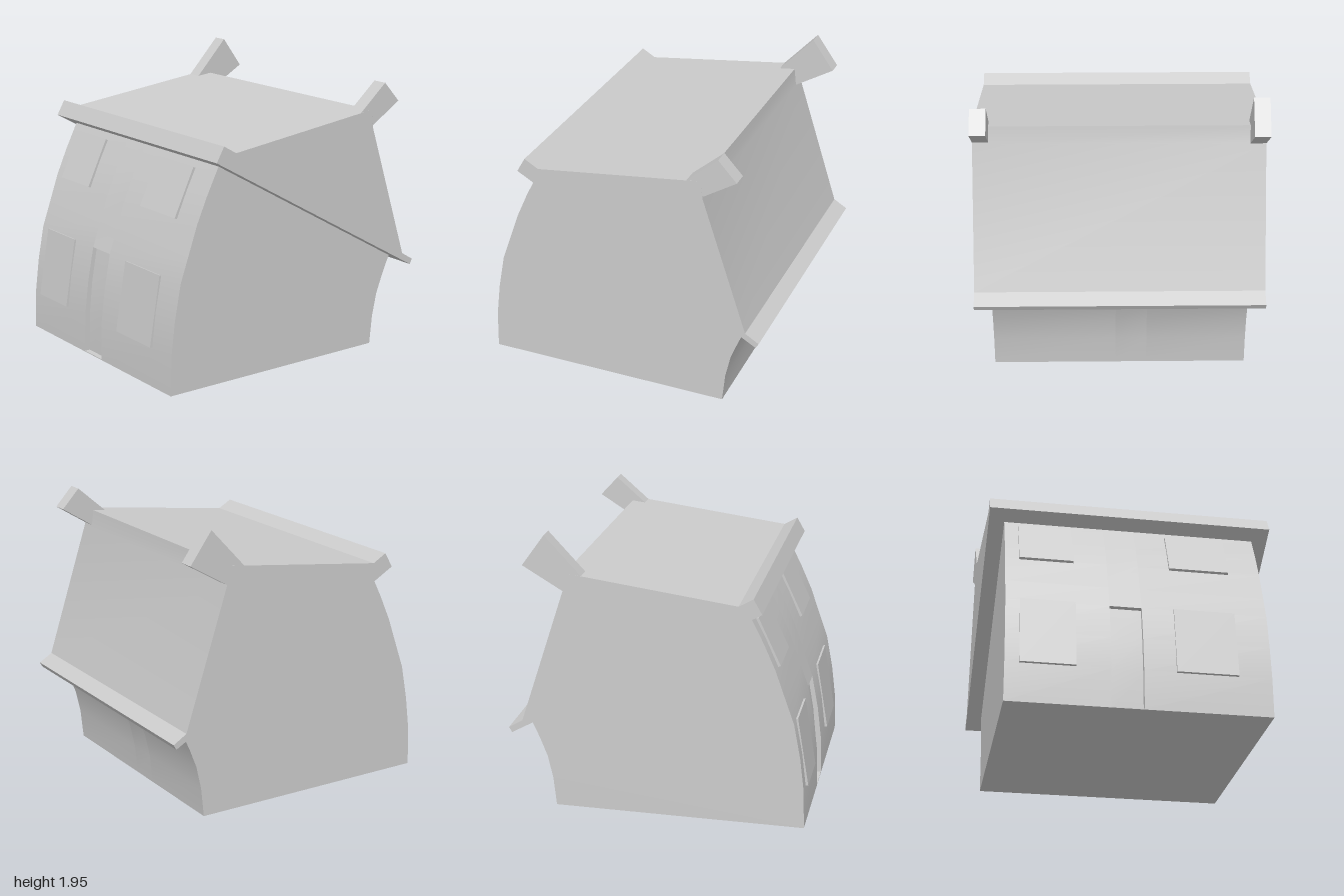
import * as THREE from 'three';
import { toCreasedNormals } from 'three/addons/utils/BufferGeometryUtils.js';

const material = new THREE.MeshStandardMaterial({ color: 0xcccccc });

// Side profile given as [z, y] points, extruded across the house from x0 to x1
function slab(name, x0, x1, profile) {
  const shape = new THREE.Shape(profile.map(([z, y]) => new THREE.Vector2(z, y)));
  const geometry = new THREE.ExtrudeGeometry(shape, { depth: x1 - x0, bevelEnabled: false });
  geometry.rotateY(-Math.PI / 2);
  geometry.translate(x1, 0, 0);
  const mesh = new THREE.Mesh(toCreasedNormals(geometry, 0.45), material);
  mesh.name = name;
  return mesh;
}

export function createModel() {
  const house = new THREE.Group();
  house.name = 'house';

  // Bowed walls: the front leans back, the rear flares out below the eave
  const lowerFront = [[0.99, 0], [0.982, 0.27], [0.953, 0.5], [0.907, 0.74]];
  const upperFront = [[0.85, 0.9], [0.777, 1.107], [0.70, 1.28], [0.605, 1.47]];
  const rear = [[-0.88, 0.625], [-0.82, 0.49], [-0.77, 0.36], [-0.735, 0.2], [-0.715, 0]];
  const wall = [...lowerFront, ...upperFront, ...rear];

  // The middle strip holds a sunken door above a thin sill
  const doorLeft = 0.025, doorRight = -0.185;
  const sunkenDoor = [
    [0.99, 0], [0.99, 0.006], [0.952, 0.006], [0.945, 0.27], [0.92, 0.5], [0.878, 0.735], [0.907, 0.74],
  ];
  house.add(
    slab('rightWalls', -0.86, doorRight, wall),
    slab('doorway', doorRight, doorLeft, [...sunkenDoor, ...upperFront, ...rear]),
    slab('leftWalls', doorLeft, 0.855, wall),
  );

  // Solid roof with a lip along the front and rear eaves
  house.add(slab('roof', -0.965, 0.962, [
    [0.702, 1.515], [0.645, 1.615], [0.55, 1.56], [-0.585, 1.705],
    [-0.6, 1.583], [-0.905, 0.652], [-1.0, 0.595], [-0.98, 0.56],
  ]));

  // Leaning chimneys at both ends of the ridge, the right one taller
  house.add(
    slab('rightChimney', -0.965, -0.86, [
      [-0.475, 1.692], [-0.715, 1.95], [-0.867, 1.74], [-0.6, 1.583], [-0.585, 1.705],
    ]),
    slab('leftChimney', 0.855, 0.962, [
      [-0.49, 1.694], [-0.70, 1.876], [-0.825, 1.74], [-0.599, 1.598], [-0.585, 1.705],
    ]),
  );

  // Raised window panels, upper and lower on each side of the door
  const lowerWindow = [[1.0, 0.27], [0.92, 0.745], [0.87, 0.735], [0.95, 0.262]];
  const upperWindow = [[0.798, 1.105], [0.648, 1.424], [0.59, 1.395], [0.74, 1.078]];
  for (const [side, x0, x1] of [['right', -0.767, -0.408], ['left', 0.235, 0.637]]) {
    house.add(
      slab(side + 'LowerWindow', x0, x1, lowerWindow),
      slab(side + 'UpperWindow', x0, x1, upperWindow),
    );
  }
  return house;
}
